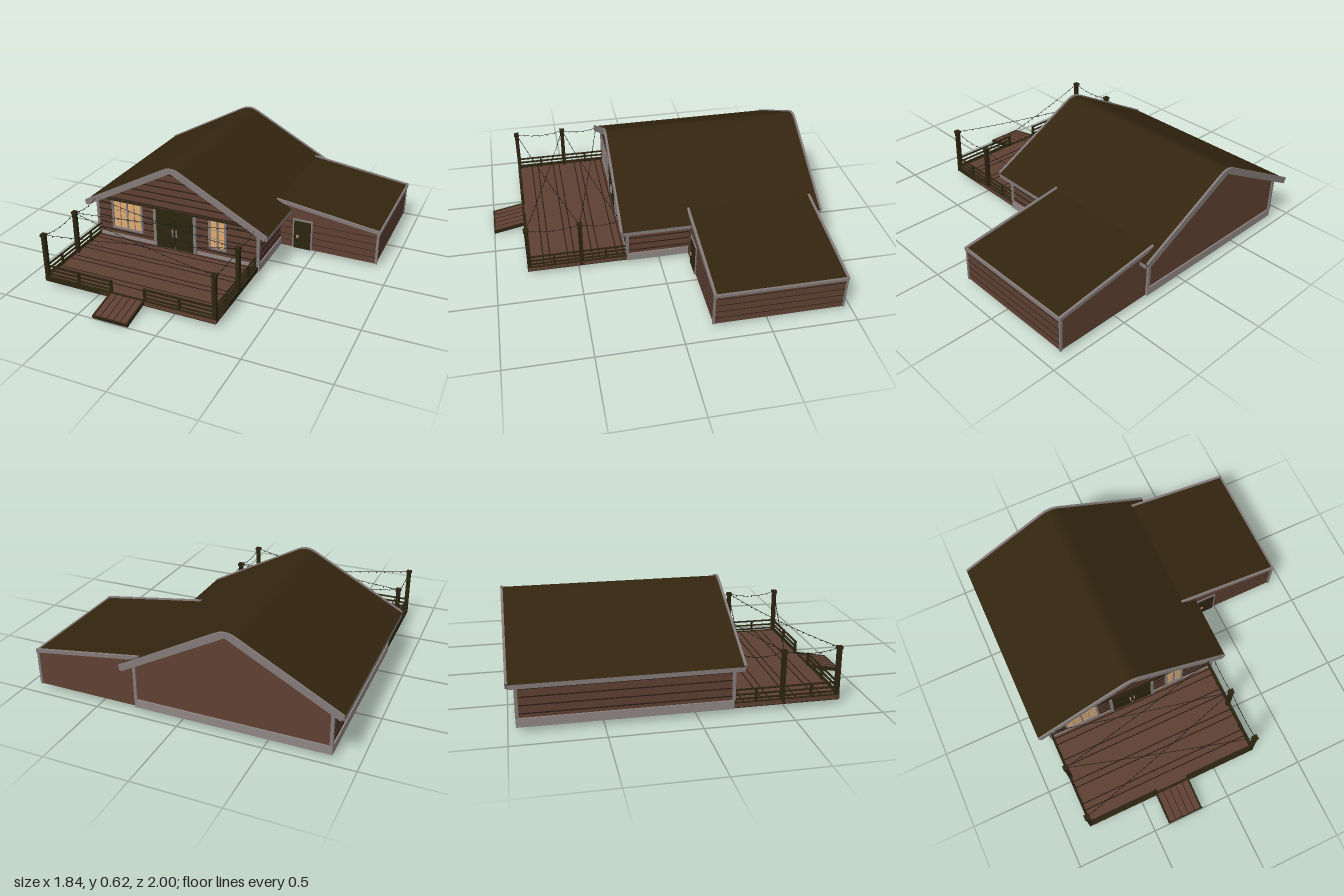
import * as THREE from 'three';

const mat = (name, color) => {
  const m = new THREE.MeshStandardMaterial({ color });
  m.name = name;
  return m;
};

export function createModel() {
  const root = new THREE.Group();
  root.name = 'cabin';
  const M = {
    roof: mat('roof brown', 0x33250f),
    wall: mat('wall brown', 0x5e4032),
    gap: mat('board gap', 0x2b1d17),
    trim: mat('trim grey', 0x827a78),
    base: mat('foundation grey', 0x8e8684),
    wood: mat('dark wood', 0x2c2410),
    glass: mat('lit window', 0xdfaa70),
    wire: mat('wire black', 0x1c1c1c),
    brass: mat('handle brass', 0xb08a5a),
  };
  const add = (geo, m, name, parent = root) => {
    const mesh = new THREE.Mesh(geo, m);
    mesh.name = name;
    parent.add(mesh);
    return mesh;
  };
  // Box given by its minimum and maximum corners
  const box = (x0, x1, y0, y1, z0, z1, m, name, parent) => {
    const b = add(new THREE.BoxGeometry(x1 - x0, y1 - y0, z1 - z0), m, name, parent);
    b.position.set((x0 + x1) / 2, (y0 + y1) / 2, (z0 + z1) / 2);
    return b;
  };
  const poly = (pts) => new THREE.Shape(pts.map(p => new THREE.Vector2(...p)));
  const extrude = (shape, z0, z1, m, name, parent) => {
    const geo = new THREE.ExtrudeGeometry(shape, { depth: z1 - z0, bevelEnabled: false, curveSegments: 5 });
    const e = add(geo, m, name, parent);
    e.position.z = z0;
    return e;
  };
  const group = (name) => {
    const g = new THREE.Group();
    g.name = name;
    root.add(g);
    return g;
  };
  const CX = -0.29, HW = 0.56, F = 0.2, B = -0.95;

  // Main house body and foundation
  extrude(poly([[CX - HW, 0.035], [CX + HW, 0.035], [CX + HW, 0.3], [CX, 0.6], [CX - HW, 0.3]]), B, F, M.wall, 'houseWalls');
  box(CX - HW - 0.008, CX + HW + 0.008, 0.03, 0.08, B - 0.008, F + 0.004, M.base, 'foundation');

  // Dark joints between the siding boards
  const siding = group('siding');
  for (let y = 0.1; y < 0.58; y += 0.046) {
    const w = Math.min(HW, (0.595 - y) / 0.535);
    box(CX - w, CX + w, y, y + 0.007, F, F + 0.003, M.gap, 'frontJoint', siding);
    if (y > 0.3) continue;
    for (const s of [-1, 1]) {
      const x = CX + s * HW;
      box(x - 0.003, x + 0.003, y, y + 0.006, B, F, M.gap, 'sideJoint', siding);
    }
  }
  box(CX - HW, CX + HW, 0.316, 0.326, F, F + 0.008, M.wood, 'gableBeam');
  for (const s of [-1, 1]) for (const z of [F, B]) {
    const x = CX + s * HW;
    box(x - 0.009, x + 0.009, 0.08, 0.3, z - 0.009, z + 0.009, M.trim, 'cornerTrim');
  }

  // Main roof with a rounded ridge, trimmed by bargeboards and eave boards
  const gable = (up, down) => {
    const s = new THREE.Shape();
    s.moveTo(CX - 0.63, 0.295 + up);
    s.lineTo(CX - 0.06, 0.602 + up);
    s.quadraticCurveTo(CX, 0.636 + up, CX + 0.06, 0.602 + up);
    s.lineTo(CX + 0.63, 0.295 + up);
    s.lineTo(CX + 0.612, 0.274 - down);
    s.lineTo(CX, 0.601 - down);
    s.lineTo(CX - 0.612, 0.274 - down);
    return s;
  };
  extrude(gable(0, 0), -0.99, 0.238, M.roof, 'mainRoof');
  for (const z of [-1, 0.235]) extrude(gable(0.008, 0.004), z, z + 0.013, M.trim, 'bargeboard');
  for (const s of [-1, 1]) {
    const x = CX + s * 0.624;
    box(x - 0.006, x + 0.006, 0.27, 0.295, -0.99, 0.24, M.trim, 'eaveBoard');
  }

  // Annex: three thin walls, open underneath, with a lean-to roof
  const annex = group('annex');
  const top = (x) => 0.345 - 0.145 * (x - 0.24);
  const end = poly([[0.27, 0.03], [0.905, 0.03], [0.905, top(0.905) - 0.012], [0.27, top(0.27) - 0.012]]);
  extrude(end, -0.19, -0.18, M.wall, 'annexFront', annex);
  extrude(end, -0.945, -0.935, M.wall, 'annexBack', annex);
  box(0.895, 0.905, 0.03, top(0.905) - 0.012, -0.94, -0.185, M.wall, 'annexSide', annex);
  const slab = (lo, hi) => poly([[0.24, top(0.24) - lo], [0.915, top(0.915) - lo], [0.915, top(0.915) + hi], [0.24, top(0.24) + hi]]);
  extrude(slab(0.014, 0), -0.945, -0.18, M.roof, 'annexRoof', annex);
  for (const z of [-0.952, -0.188]) extrude(slab(0.014, 0.008), z, z + 0.014, M.trim, 'annexVerge', annex);
  box(0.905, 0.917, 0.233, 0.251, -0.95, -0.175, M.trim, 'annexEave', annex);
  for (const z of [-0.18, -0.945]) box(0.896, 0.911, 0.03, 0.24, z - 0.006, z + 0.006, M.trim, 'annexCorner', annex);
  for (let y = 0.07; y < 0.23; y += 0.046) {
    box(0.905, 0.907, y, y + 0.003, -0.94, -0.18, M.gap, 'annexJoint', annex);
    box(0.27, 0.9, y, y + 0.003, -0.18, -0.179, M.gap, 'annexJoint', annex);
  }

  // Annex door, passing through the wall
  box(0.354, 0.364, 0.03, 0.235, -0.192, -0.174, M.trim, 'doorJamb', annex);
  box(0.476, 0.486, 0.03, 0.235, -0.192, -0.174, M.trim, 'doorJamb', annex);
  box(0.354, 0.486, 0.223, 0.235, -0.192, -0.174, M.trim, 'doorHead', annex);
  box(0.364, 0.476, 0.03, 0.223, -0.194, -0.172, M.wood, 'annexDoor', annex);
  box(0.382, 0.398, 0.105, 0.125, -0.172, -0.166, M.brass, 'annexHandle', annex);

  // Windows: lit pane, surround and glazing bars
  const window_ = (x0, x1, cols) => {
    const g = group('window'), y0 = 0.135, y1 = 0.315, t = 0.012;
    box(x0, x1, y0, y1, F, F + 0.006, M.glass, 'pane', g);
    for (const x of [x0 - t, x1]) box(x, x + t, y0 - t, y1, F, F + 0.014, M.trim, 'sideCasing', g);
    box(x0 - t, x1 + t, y0 - t, y0, F, F + 0.016, M.trim, 'sill', g);
    for (let i = 1; i < cols; i++) {
      const x = x0 + (x1 - x0) * i / cols, w = i * 2 === cols ? 0.006 : 0.0015;
      box(x - w, x + w, y0, y1, F, F + 0.01, M.trim, 'uprightBar', g);
    }
    for (const k of [0.33, 0.66]) {
      const y = y0 + (y1 - y0) * k;
      box(x0, x1, y - 0.0015, y + 0.0015, F, F + 0.009, M.trim, 'crossBar', g);
    }
  };
  window_(-0.73, -0.53, 4);
  window_(-0.045, 0.05, 2);

  // Double front door
  const door = group('frontDoor');
  for (const s of [-1, 1]) {
    const at = (a, b, y0, y1, z, m, n) =>
      box(Math.min(CX + s * a, CX + s * b), Math.max(CX + s * a, CX + s * b), y0, y1, F, F + z, m, n, door);
    at(0.003, 0.13, 0.06, 0.315, 0.01, M.wood, 'doorLeaf');
    at(0.025, 0.11, 0.2, 0.295, 0.014, M.wood, 'doorPanel');
    at(0.025, 0.11, 0.08, 0.18, 0.014, M.wood, 'doorPanel');
    at(0.13, 0.148, 0.06, 0.315, 0.016, M.trim, 'doorCasing');
    at(0.01, 0.016, 0.15, 0.2, 0.022, M.base, 'doorHandle');
  }

  // Deck with board gaps, and its edge beams
  const deck = group('deck'), X0 = -0.85, X1 = 0.27, Z1 = 0.81;
  box(X0, X1, 0.034, 0.057, F, Z1, M.wall, 'deckFloor', deck);
  for (let z = 0.225; z < 0.79; z += 0.15) for (const d of [0, 0.042])
    if (z + d < 0.79) box(X0, X1, 0.057, 0.0585, z + d - 0.04 + 0.03, z + d - 0.003, M.gap, 'boardGap', deck);
  for (let z = 0.24; z < 0.8; z += 0.04) box(X0, X1, 0.032, 0.034, z, z + 0.006, M.gap, 'undersideGap', deck);
  box(X0, X1, 0.03, 0.062, Z1 - 0.015, Z1, M.wood, 'frontBeam', deck);
  for (const x of [X0, X1 - 0.012]) box(x, x + 0.012, 0.03, 0.062, F, Z1, M.wood, 'sideBeam', deck);

  // Ramp sloping down to the ground
  const ramp = group('ramp');
  box(-0.4, -0.18, -0.008, 0.008, -0.098, 0.098, M.wall, 'rampFloor', ramp);
  for (let i = 0; i <= 5; i++) {
    const x = -0.398 + i * 0.0427, w = i % 5 ? 0.002 : 0.006;
    box(x - w, x + w, -0.01, 0.0095, -0.098, 0.098, i % 5 ? M.gap : M.wood, 'rampJoint', ramp);
  }
  box(-0.404, -0.176, -0.01, 0.01, 0.09, 0.098, M.wood, 'rampEdge', ramp);
  ramp.position.set(0, 0.031, 0.902);
  ramp.rotation.x = 0.2;

  // Tall posts and railings
  const rails = group('railing'), PX = [-0.838, 0.258];
  const RY = [0.076, 0.102, 0.131];
  for (const x of PX) {
    for (const z of [0.48, 0.796]) {
      box(x - 0.012, x + 0.012, 0.03, 0.335, z - 0.012, z + 0.012, M.wood, 'post', rails);
      box(x - 0.016, x + 0.016, 0.325, 0.342, z - 0.016, z + 0.016, M.wood, 'postCap', rails);
    }
    for (const z of [0.33, 0.645]) box(x - 0.006, x + 0.006, 0.05, 0.131, z - 0.006, z + 0.006, M.wood, 'shortPost', rails);
    for (const y of RY) box(x - 0.005, x + 0.005, y - 0.004, y + 0.004, F, 0.796, M.wood, 'sideRail', rails);
  }
  for (const [a, b] of [[PX[0], -0.4], [-0.18, PX[1]]]) {
    for (const y of RY) box(a, b, y - 0.004, y + 0.004, 0.791, 0.801, M.wood, 'frontRail', rails);
    for (const x of [(a + b) / 2, a === PX[0] ? b : a]) box(x - 0.007, x + 0.007, 0.05, 0.135, 0.789, 0.803, M.wood, 'shortPost', rails);
  }

  // Sagging light strings along the sides and crossing over the deck
  const lights = group('lightStrings'), Y = 0.335;
  const string = (x0, z0, x1, z1, sag) => {
    const a = new THREE.Vector3(x0, Y, z0), c = new THREE.Vector3(x1, Y, z1);
    const mid = a.clone().lerp(c, 0.5).setY(Y - 2 * sag);
    const curve = new THREE.QuadraticBezierCurve3(a, mid, c);
    add(new THREE.TubeGeometry(curve, 16, 0.0016, 4), M.wire, 'wire', lights);
    const n = Math.round(a.distanceTo(c) / 0.055);
    for (let i = 1; i < n; i++) {
      const bulb = add(new THREE.SphereGeometry(0.0038, 6, 4), M.wire, 'bulb', lights);
      bulb.position.copy(curve.getPoint(i / n)).y -= 0.004;
    }
  };
  for (const x of PX) {
    string(x, 0.796, x, 0.48, 0.024);
    string(x, 0.48, x, 0.23, 0.024);
  }
  for (const [za, zb] of [[0.796, 0.48], [0.48, 0.24]]) {
    string(PX[0], za, PX[1], zb, 0.02);
    string(PX[0], zb, PX[1], za, 0.02);
  }
  return root;
}
